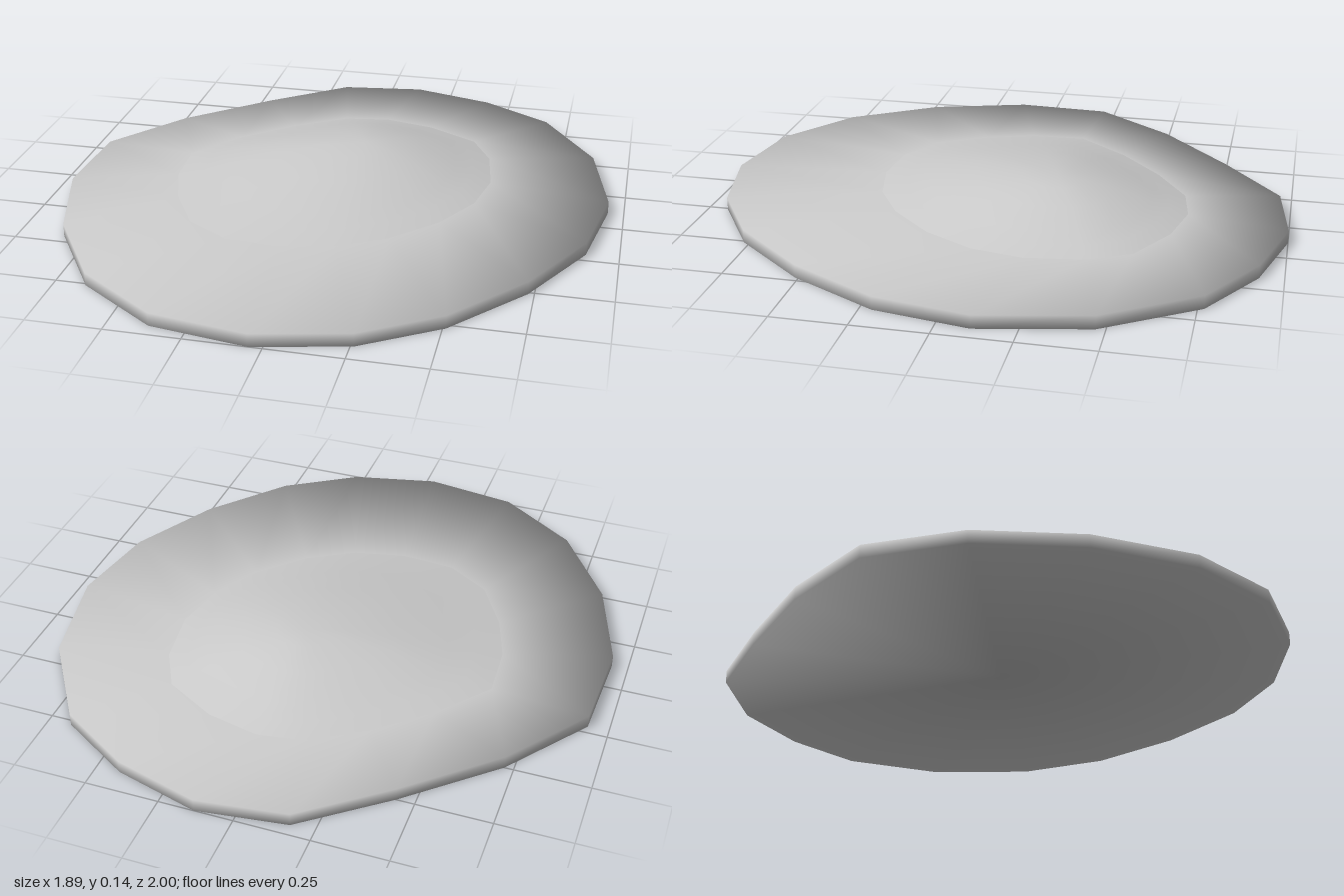
import * as THREE from 'three';
import { mergeVertices } from 'three/addons/utils/BufferGeometryUtils.js';

const THICKNESS = 0.045;
const PEAK = [0.06, 0.145, -0.21];

// Irregular outer edge of the slab, as [x, z]
const RIM = [
  [0.13, -1.0], [0.42, -0.92], [0.67, -0.77], [0.87, -0.47], [0.945, -0.11], [0.89, 0.21],
  [0.73, 0.51], [0.51, 0.77], [0.26, 0.93], [-0.045, 1.0], [-0.37, 0.95], [-0.645, 0.76],
  [-0.84, 0.46], [-0.945, 0.115], [-0.93, -0.22], [-0.72, -0.5], [-0.44, -0.75], [-0.17, -0.96],
];

// Foot of the mound, as [x, z]
const FOOT = [
  [0.06, -0.66], [0.24, -0.62], [0.42, -0.52], [0.495, -0.38], [0.525, -0.18], [0.49, 0.0],
  [0.395, 0.17], [0.25, 0.32], [0.09, 0.415], [-0.09, 0.455], [-0.28, 0.44], [-0.43, 0.345],
  [-0.53, 0.17], [-0.585, 0.0], [-0.595, -0.19], [-0.45, -0.37], [-0.28, -0.52], [-0.1, -0.635],
];

// Mound height (0..1) against distance from the peak (0) to the foot (1)
const PROFILE = [[1, 0], [0.86, 0.18], [0.72, 0.36], [0.46, 0.73], [0.2, 0.94], [0, 1]];

// Skin a list of rings, each a list of [x, y, z]
function loft(rings) {
  const n = rings[0].length;
  const index = [];
  for (let k = 0; k < rings.length - 1; k++) {
    for (let i = 0; i < n; i++) {
      const j = (i + 1) % n;
      const a = k * n + i, b = k * n + j, c = a + n, d = b + n;
      index.push(a, c, b, b, c, d);
    }
  }
  const geometry = new THREE.BufferGeometry();
  geometry.setAttribute('position', new THREE.Float32BufferAttribute(rings.flat(2), 3));
  geometry.setIndex(index);
  return geometry;
}

const level = (outline, y) => outline.map(([x, z]) => [x, y, z]);

// Flat slab with softly shaded edges: the normals lean outward at the rim
function slabGeometry() {
  const geometry = loft([
    RIM.map(() => [0, 0, 0]),
    level(RIM, 0),
    level(RIM, THICKNESS),
    level(FOOT, THICKNESS),
    RIM.map(() => [PEAK[0], THICKNESS, PEAK[2]]),
  ]);
  const lean = [0, 0.88, 0.88, 0.12, 0];
  const up = [-1, -0.47, 0.47, 1, 1];
  const normals = lean.flatMap((out, k) => RIM.flatMap(([x, z]) => {
    const r = Math.hypot(x, z);
    return new THREE.Vector3(out * x / r, up[k], out * z / r).normalize().toArray();
  }));
  geometry.setAttribute('normal', new THREE.Float32BufferAttribute(normals, 3));
  return geometry;
}

// Low, off-centre mound rising from its foot to the peak
function moundGeometry() {
  const rings = PROFILE.map(([u, h]) => FOOT.map(([x, z]) => [
    THREE.MathUtils.lerp(PEAK[0], x, u),
    THREE.MathUtils.lerp(THICKNESS, PEAK[1], h),
    THREE.MathUtils.lerp(PEAK[2], z, u),
  ]));
  const geometry = mergeVertices(loft(rings));
  geometry.computeVertexNormals();
  return geometry;
}

export function createModel() {
  const group = new THREE.Group();
  const material = new THREE.MeshStandardMaterial({ color: 0xcccccc });
  const parts = { slab: slabGeometry(), mound: moundGeometry() };
  for (const [name, geometry] of Object.entries(parts)) {
    const mesh = new THREE.Mesh(geometry, material);
    mesh.name = name;
    group.add(mesh);
  }
  return group;
}
